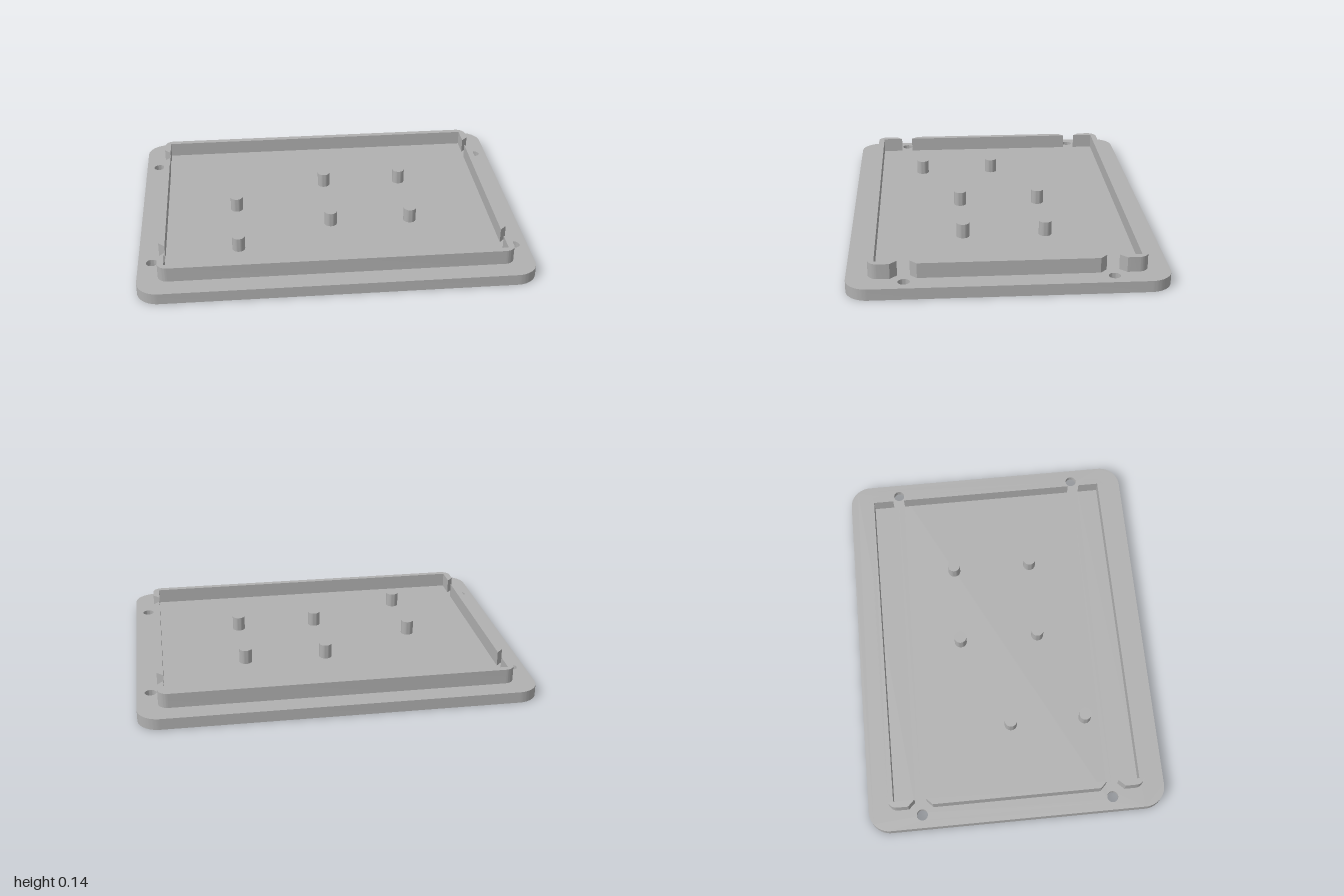
import * as THREE from 'three';
import { toCreasedNormals } from 'three/addons/utils/BufferGeometryUtils.js';

const W = 1, D = 0.777, T = 0.058, RIM_TOP = 0.135;
const SEG = 32;

export function createModel() {
  const group = new THREE.Group();
  group.name = 'enclosureLid';
  const grey = new THREE.MeshStandardMaterial({ color: 0xb0b0b0 });
  grey.name = 'grey plastic';

  const add = (name, geo, x = 0, y = 0, z = 0, turn = 0) => {
    const mesh = new THREE.Mesh(toCreasedNormals(geo, 0.6), grey);
    mesh.name = name;
    mesh.position.set(x, y, z);
    mesh.rotation.y = turn;
    group.add(mesh);
  };

  // four mirrored positions
  const four = (x, z) => [[x, z], [-x, z], [x, -z], [-x, -z]];
  const screws = four(0.931, 0.5);
  const feet = four(0.736, 0.592);

  // rounded rectangle outline with round holes
  const plateShape = (holes) => {
    const r = 0.11, s = new THREE.Shape();
    s.absarc(W - r, D - r, r, 0, Math.PI / 2);
    s.absarc(-W + r, D - r, r, Math.PI / 2, Math.PI);
    s.absarc(-W + r, -D + r, r, Math.PI, Math.PI * 1.5);
    s.absarc(W - r, -D + r, r, Math.PI * 1.5, Math.PI * 2);
    s.closePath();
    for (const { spots, radius } of holes) {
      for (const [x, z] of spots) {
        s.holes.push(new THREE.Path().absarc(x, z, radius, 0, Math.PI * 2, true));
      }
    }
    return s;
  };

  // base plate: top face, underside and edge wall
  const up = new THREE.ShapeGeometry(plateShape([{ spots: screws, radius: 0.029 }]), SEG / 2);
  add('plateTop', up.rotateX(-Math.PI / 2), 0, T, 0);
  const down = new THREE.ShapeGeometry(plateShape([
    { spots: screws, radius: 0.045 }, { spots: feet, radius: 0.118 },
  ]), SEG / 2);
  add('plateUnderside', down.rotateX(Math.PI / 2));

  const solid = new THREE.ExtrudeGeometry(plateShape([]), { depth: T, bevelEnabled: false, curveSegments: 12 });
  const { start, count } = solid.groups[1];
  const edge = new THREE.BufferGeometry();
  edge.setAttribute('position', new THREE.BufferAttribute(
    solid.attributes.position.array.slice(start * 3, (start + count) * 3), 3));
  edge.computeVertexNormals();
  add('plateEdge', edge.rotateX(-Math.PI / 2));

  // turned inner surfaces of the recesses in the plate
  const recess = (name, profile, spots) => {
    for (const [x, z] of spots) {
      add(name, new THREE.LatheGeometry(profile.map((p) => new THREE.Vector2(...p)), SEG), x, 0, z);
    }
  };
  recess('screwHole', [[0.029, T], [0.029, 0.03], [0.045, 0.03], [0.045, 0]], screws);
  recess('footRecess', [[0, 0.04], [0.028, 0.04], [0.028, 0.022], [0.118, 0.022], [0.118, 0]], feet);

  // raised rim, interrupted by chamfered gaps beside the screw holes
  const OX = 0.896, OZ = 0.672, IX = 0.863, IZ = 0.641, R = 0.05;
  const raise = (shape) => new THREE.ExtrudeGeometry(shape, {
    depth: RIM_TOP - T, bevelEnabled: false, curveSegments: 8,
  }).rotateX(-Math.PI / 2);

  const endRim = new THREE.Shape();
  endRim.moveTo(IX, 0.532);
  endRim.lineTo(OX, 0.566);
  endRim.absarc(OX - R, OZ - R, R, 0, Math.PI / 2);
  endRim.absarc(-OX + R, OZ - R, R, Math.PI / 2, Math.PI);
  endRim.lineTo(-OX, 0.566);
  endRim.lineTo(-IX, 0.532);
  endRim.lineTo(-IX, IZ);
  endRim.lineTo(IX, IZ);
  endRim.closePath();

  const sideRim = new THREE.Shape([
    [IX, -0.471], [OX, -0.438], [OX, 0.438], [IX, 0.471],
  ].map((p) => new THREE.Vector2(...p)));

  for (const turn of [0, Math.PI]) {
    add(turn ? 'frontRim' : 'backRim', raise(endRim), 0, T, 0, turn);
    add(turn ? 'rightRim' : 'leftRim', raise(sideRim), 0, T, 0, turn);
  }

  // mounting pegs
  const pegs = [[0.005, -0.22], [0.43, -0.22], [0.005, 0.203], [0.43, 0.203], [-0.49, 0.007], [-0.49, 0.405]];
  const h = 0.075;
  for (const [x, z] of pegs) {
    add('peg', new THREE.CylinderGeometry(0.033, 0.033, h, SEG), x, T + h / 2, z);
  }
  return group;
}
